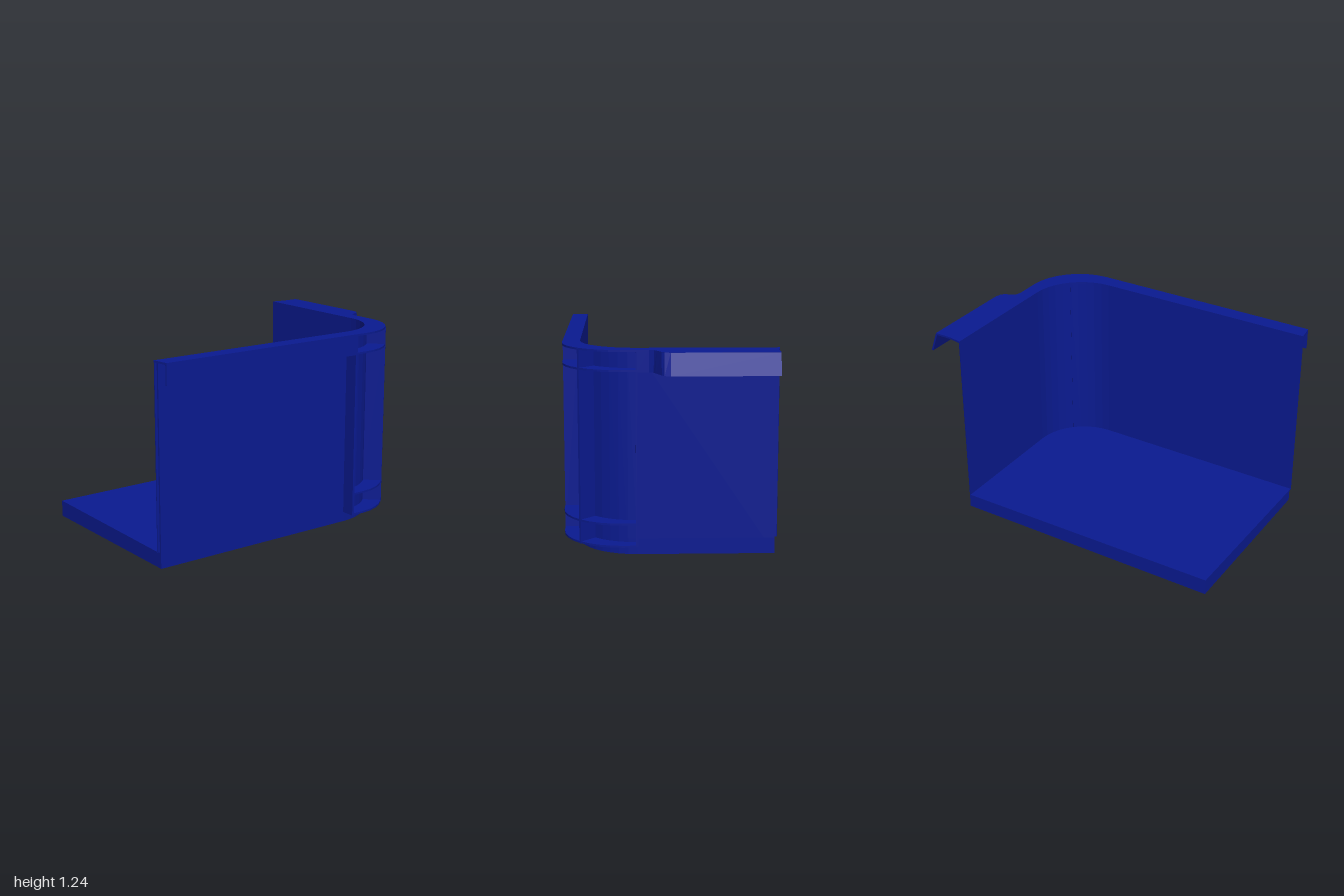
import * as THREE from 'three';

const material = new THREE.MeshStandardMaterial({ color: 0x0a1a90, side: THREE.DoubleSide, flatShading: true });

// Points [x, z] on a quarter circle, running from +z round to +x
function arc(cx, cz, r, n) {
  const pts = [];
  for (let i = 0; i <= n; i++) {
    const a = (Math.PI / 2) * (1 - i / n);
    pts.push([cx + r * Math.cos(a), cz + r * Math.sin(a)]);
  }
  return pts;
}

// Horizontal outline [x, z] extruded from y0 to y1
function slab(name, pts, y0, y1) {
  const shape = new THREE.Shape(pts.map(([x, z]) => new THREE.Vector2(x, -z)));
  const geo = new THREE.ExtrudeGeometry(shape, { depth: y1 - y0, bevelEnabled: false });
  geo.rotateX(-Math.PI / 2);
  geo.translate(0, y0, 0);
  return mesh(name, geo);
}

function mesh(name, geo) {
  const m = new THREE.Mesh(geo, material);
  m.name = name;
  return m;
}

function box(name, x0, x1, y0, y1, z0, z1) {
  const geo = new THREE.BoxGeometry(x1 - x0, y1 - y0, z1 - z0);
  geo.translate((x0 + x1) / 2, (y0 + y1) / 2, (z0 + z1) / 2);
  return mesh(name, geo);
}

// Closed loft through equal rings of points, with end caps
function loft(name, rings) {
  const n = rings[0].length, index = [];
  for (let i = 0; i + 1 < rings.length; i++) {
    for (let j = 0; j < n; j++) {
      const a = i * n + j, b = i * n + ((j + 1) % n);
      index.push(a, b, a + n, b, b + n, a + n);
    }
  }
  const e = (rings.length - 1) * n;
  index.push(0, 2, 1, 0, 3, 2, e, e + 1, e + 2, e, e + 2, e + 3);
  const geo = new THREE.BufferGeometry();
  geo.setAttribute('position', new THREE.Float32BufferAttribute(rings.flat(2), 3));
  geo.setIndex(index);
  geo.computeVertexNormals();
  return mesh(name, geo);
}

export function createModel() {
  const group = new THREE.Group();
  const TOP = 1.235, SKIRT = 1.105, BACK = -0.625, END = -0.985;

  // Nested contours round the curved corner
  const inner = arc(0.42, 0.19, 0.34, 10);
  const mid = arc(0.42, 0.19, 0.346, 10);
  const outer = arc(0.42, 0.19, 0.358, 10);
  const rimArc = arc(0.5, 0.285, 0.35, 8);

  // Floor block and thin floor lining that overhangs it slightly
  group.add(slab('floor', [[END, 0.548], ...outer, [0.778, BACK], [END, BACK]], 0, 0.097));
  group.add(slab('floorLining', [[-1, 0.53], ...inner, [0.76, -0.64], [END, BACK]], 0.097, 0.103));

  // L-shaped wall with its inner lining
  group.add(slab('wall',
    [[END, 0.548], ...outer, [0.778, BACK], [0.766, BACK], ...mid.slice().reverse(), [END, 0.536]], 0, TOP - 0.012));
  group.add(slab('wallLining',
    [[-1, 0.536], ...mid, [0.766, -0.638], [0.76, -0.64], ...inner.slice().reverse(), [-1, 0.53]], 0.1, TOP - 0.012));

  // Flat top rim, widening into the handle
  const rim = [[END, 0.635], ...rimArc, [0.85, 0.12], [0.86, 0.092], [0.88, 0.078], [0.93, 0.052],
    [0.945, 0.035], [0.955, 0], [0.955, BACK], [0.85, BACK], [0.76, -0.64], ...inner.slice().reverse(), [-1, 0.53]];
  group.add(slab('rim', rim, TOP - 0.012, TOP));

  // Skirts hanging from the rim; the side one flares at the handle
  group.add(box('frontSkirt', END, 0.42, SKIRT, TOP - 0.006, 0.623, 0.635));
  // Each row: top x, top z, bottom x, bottom z, inward z shift
  const path = [
    [0.85, 0.19, 0.85, 0.19, 0], [0.85, 0.12, 0.85, 0.12, 0.006], [0.86, 0.092, 0.86, 0.095, 0.01],
    [0.88, 0.078, 0.885, 0.085, 0.012], [0.93, 0.052, 0.965, 0.05, 0.012],
    [0.945, 0.035, 0.985, 0.035, 0.01], [0.955, 0, 1, 0, 0], [0.955, BACK, 1, BACK, 0]];
  const t = 0.012;
  group.add(loft('sideSkirt', path.map(([xt, zt, xb, zb, dz]) => [
    [xt, TOP - 0.002, zt], [xb, SKIRT, zb], [xb - t, SKIRT, zb - dz], [xt - t, TOP - 0.002, zt - dz]])));

  // Corner reinforcement: horizontal shelves, end ribs and diagonal rib
  const shelf = [[0.41, 0.635], ...rimArc, [0.85, 0.185], ...mid.slice().reverse(), [0.41, 0.536]];
  [0.062, 0.197, 1.107].forEach((y) => group.add(slab('cornerShelf', shelf, y, y + 0.012)));
  group.add(box('frontEndRib', 0.41, 0.424, 0.062, TOP - 0.006, 0.54, 0.635));
  group.add(box('sideEndRib', 0.77, 0.85, 0.062, TOP - 0.006, 0.185, 0.199));
  const rib = box('diagonalRib', -0.075, 0.065, 0.062, TOP - 0.006, -0.007, 0.007);
  rib.position.set(0.706, 0, 0.486);
  rib.rotation.y = -Math.PI / 4;
  group.add(rib);

  return group;
}
